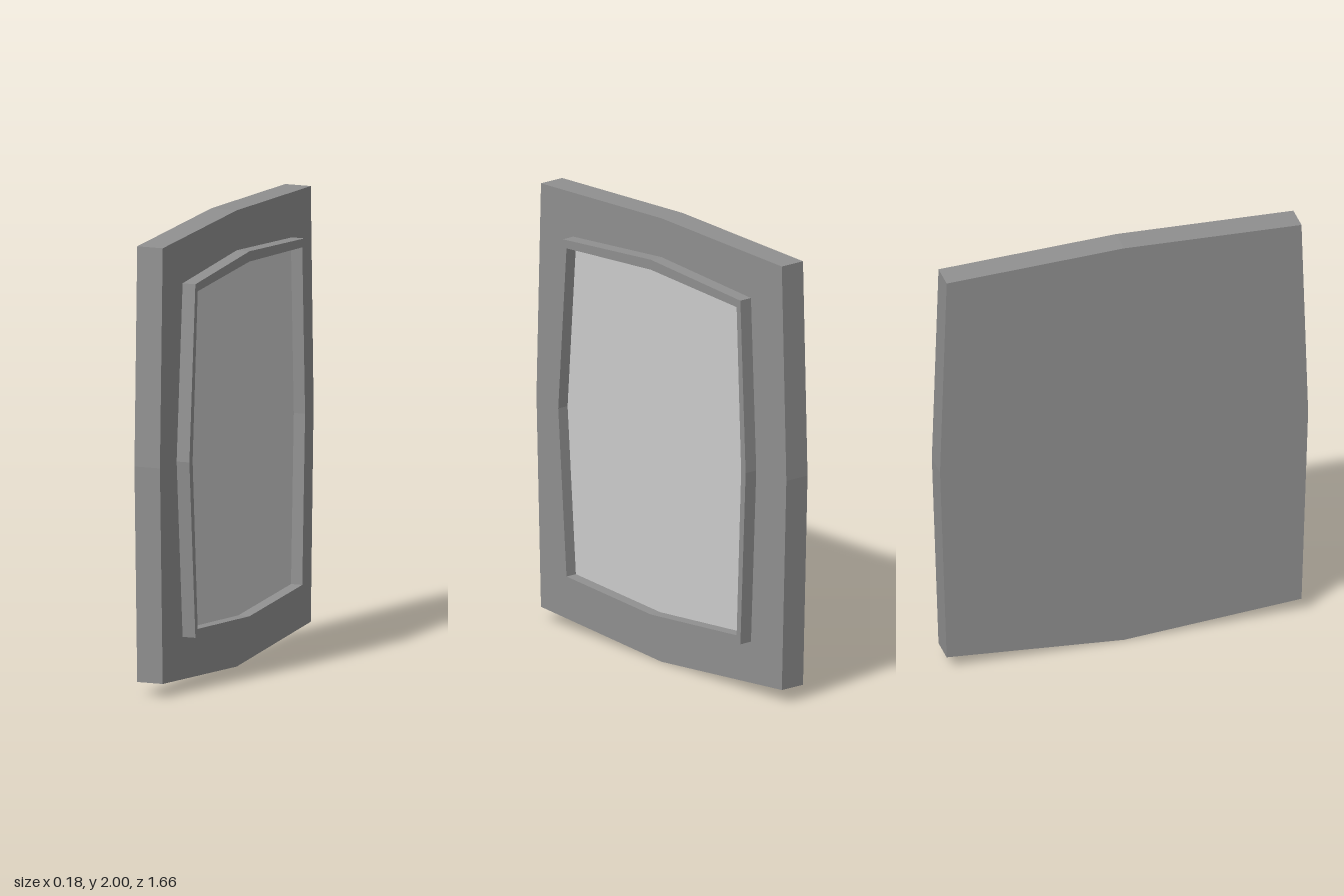
import * as THREE from 'three';

// Outlines as [z, y] corners, counter-clockwise when seen from +x
const SLAB = [[0.8, 1.97], [0.83, 1.01], [0.8, 0.06], [0, 0], [-0.8, 0.06], [-0.83, 1.01], [-0.8, 1.97], [0, 2]];
const RIM_OUTER = [[0.585, 1.78], [0.65, 1.01], [0.585, 0.23], [0, 0.18], [-0.595, 0.23], [-0.63, 1.01], [-0.595, 1.78], [0, 1.825]];
const RIM_INNER = [[0.56, 1.745], [0.615, 1.01], [0.56, 0.265], [0, 0.225], [-0.57, 0.265], [-0.6, 1.01], [-0.57, 1.745], [0, 1.78]];

const toPoints = (outline) => outline.map(([z, y]) => new THREE.Vector2(-z, y));

// Extrudes an outline along x from x0 to x1, with an optional hole
function plate(name, outline, x0, x1, material, hole) {
  const shape = new THREE.Shape(toPoints(outline));
  if (hole) shape.holes.push(new THREE.Path(toPoints(hole)));
  const geometry = new THREE.ExtrudeGeometry(shape, { depth: x1 - x0, bevelEnabled: false });
  geometry.rotateY(Math.PI / 2).translate(x0, 0, 0);
  const mesh = new THREE.Mesh(geometry, material);
  mesh.name = name;
  return mesh;
}

export function createModel() {
  const casing = new THREE.MeshStandardMaterial({ color: 0x909090 });
  const pane = new THREE.MeshStandardMaterial({ color: 0xcccccc });
  const group = new THREE.Group();
  group.name = 'framedPanel';
  group.add(
    plate('backSlab', SLAB, -0.09, 0.03, casing),
    plate('raisedRim', RIM_OUTER, 0.03, 0.09, casing, RIM_INNER),
    // Pale pane recessed inside the rim
    plate('pane', RIM_INNER, 0.03, 0.037, pane),
  );
  return group;
}
